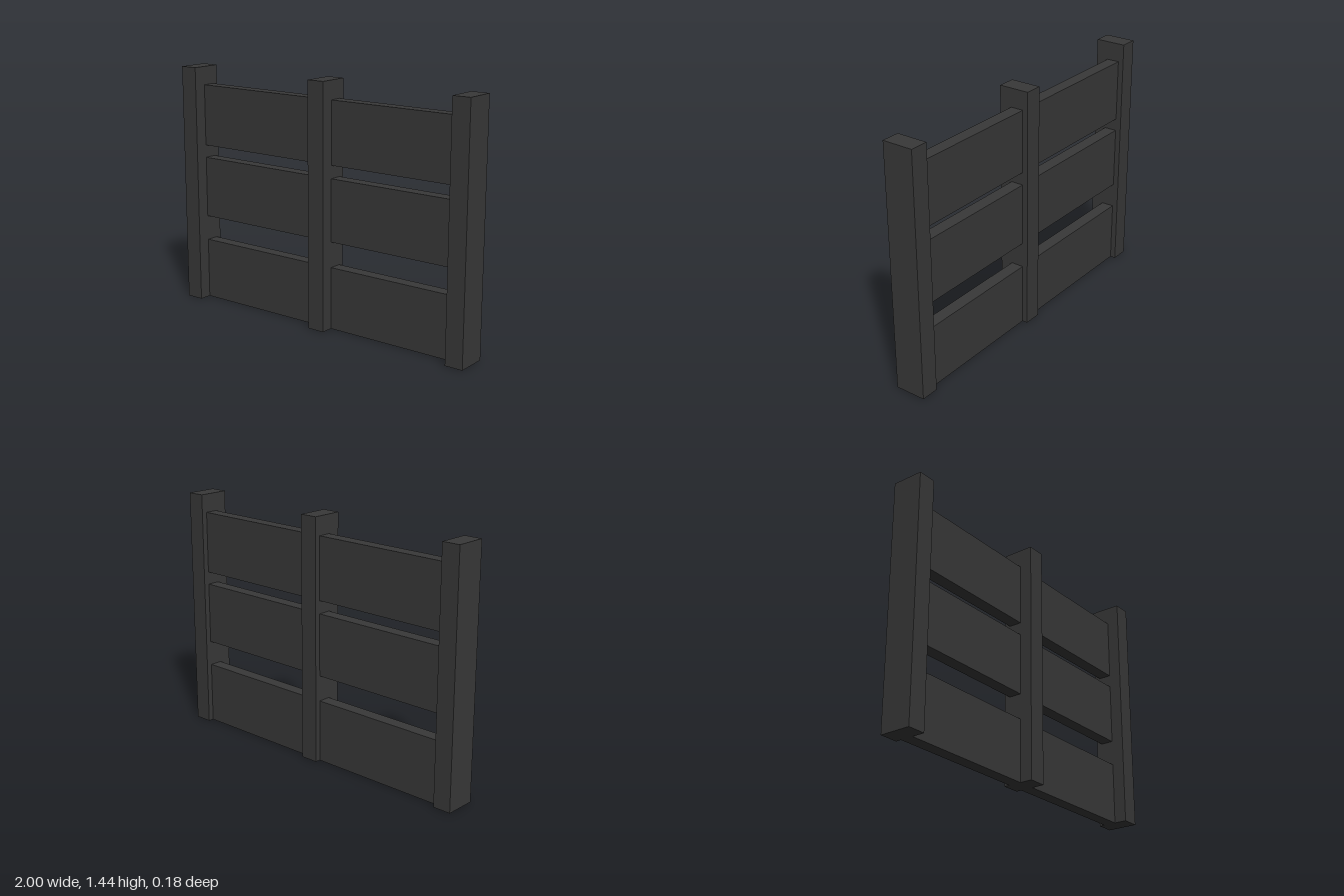
import * as THREE from 'three';

export function createModel() {
  const fence = new THREE.Group();
  fence.name = 'fence';
  const charcoal = new THREE.MeshStandardMaterial({ color: 0x383838 });
  charcoal.name = 'charcoal';

  // Box given by its lower and upper limits on each axis
  function addBox(name, [x0, x1], [y0, y1], [z0, z1]) {
    const mesh = new THREE.Mesh(new THREE.BoxGeometry(x1 - x0, y1 - y0, z1 - z0), charcoal);
    mesh.position.set((x0 + x1) / 2, (y0 + y1) / 2, (z0 + z1) / 2);
    mesh.name = name;
    fence.add(mesh);
  }

  // Three upright posts, the middle one slightly off centre
  const posts = [[-1, -0.892], [-0.036, 0.072], [0.892, 1]];
  ['rightPost', 'middlePost', 'leftPost'].forEach((name, i) =>
    addBox(name, posts[i], [0, 1.444], [-0.092, 0.092]));

  // Three wide boards in each bay, set behind the middle of the posts
  const boardHeight = 0.369;
  const bays = [['right', posts[0][1], posts[1][0]], ['left', posts[1][1], posts[2][0]]];
  for (const [side, x0, x1] of bays) {
    [['Lower', 0], ['Middle', 0.52], ['Upper', 0.965]].forEach(([level, y]) =>
      addBox(`${side}${level}Board`, [x0, x1], [y, y + boardHeight], [-0.059, 0.017]));
  }
  return fence;
}
